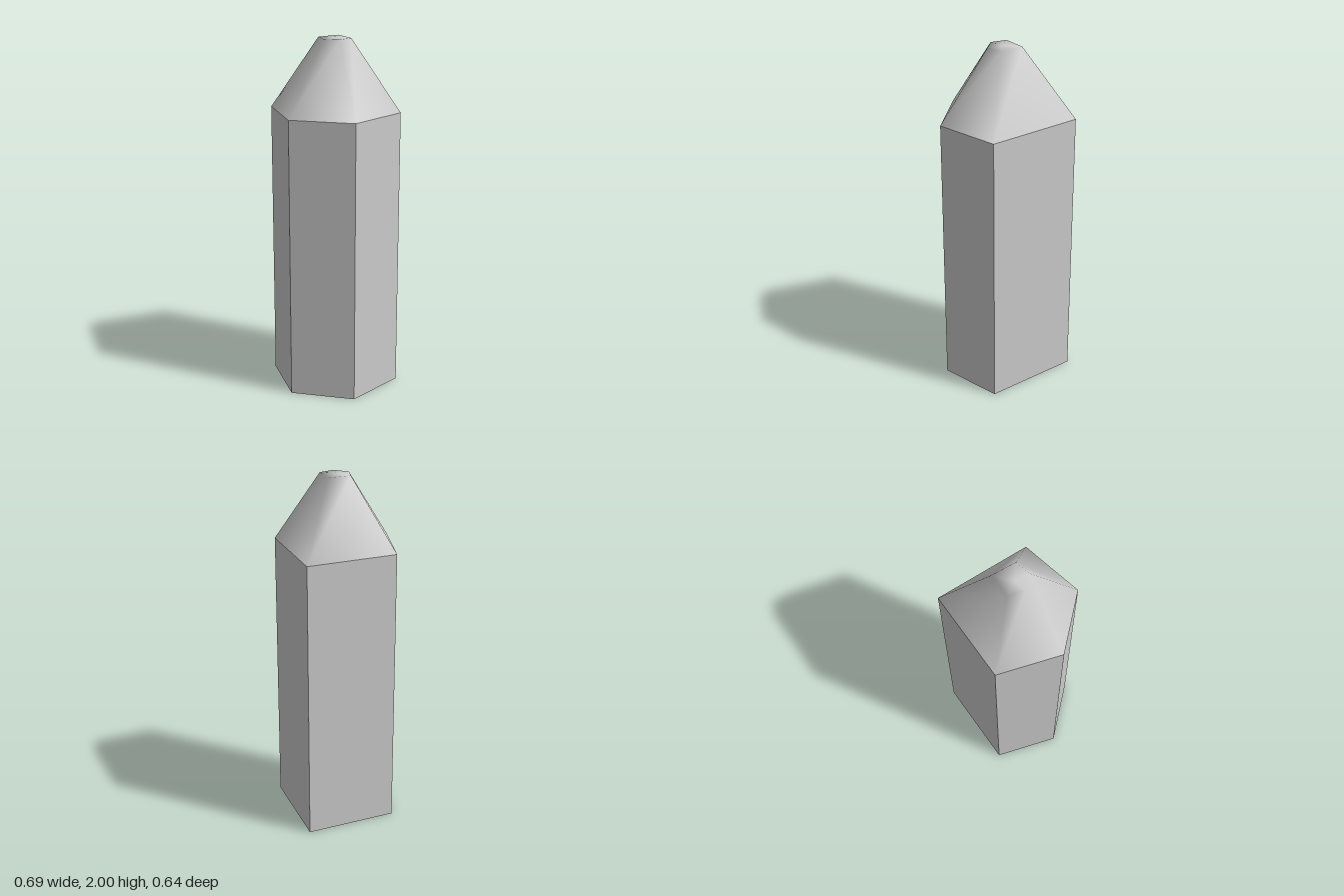
import * as THREE from 'three';

// Corners [x, z], counter-clockwise seen from above
const BODY = [[-0.347, 0], [-0.163, 0.317], [0.205, 0.317], [0.345, -0.21], [-0.163, -0.32]];
const TIP = [[-0.075, 0], [-0.03, 0.08], [0.06, 0.08], [0.1, -0.05], [-0.03, -0.08]];

// Joins two rings of corners with quads, optionally closing the upper ring
function loft(lower, y0, upper, y1, capped) {
  const n = lower.length;
  const positions = [];
  const index = [];
  lower.forEach(([x, z]) => positions.push(x, y0, z));
  upper.forEach(([x, z]) => positions.push(x, y1, z));
  if (capped) positions.push(0, y1, 0);
  for (let i = 0; i < n; i++) {
    const j = (i + 1) % n;
    index.push(i, j, n + j, i, n + j, n + i);
    if (capped) index.push(n + i, n + j, 2 * n);
  }
  const geometry = new THREE.BufferGeometry();
  geometry.setAttribute('position', new THREE.Float32BufferAttribute(positions, 3));
  geometry.setIndex(index);
  geometry.computeVertexNormals();
  return geometry;
}

export function createModel() {
  const group = new THREE.Group();
  group.name = 'crystal';

  // Five-sided shaft, flat faces, open underneath
  const shaft = new THREE.Mesh(
    loft(BODY, 0, BODY, 1.6, false).toNonIndexed(),
    new THREE.MeshStandardMaterial({ color: 0xcccccc, flatShading: true, side: THREE.DoubleSide })
  );
  shaft.geometry.computeVertexNormals();
  shaft.name = 'shaft';

  // Tapered, softly shaded point with a small flat top
  const point = new THREE.Mesh(
    loft(BODY, 1.6, TIP, 2, true),
    new THREE.MeshStandardMaterial({ color: 0xcccccc, side: THREE.DoubleSide })
  );
  point.name = 'point';

  group.add(shaft, point);
  return group;
}
